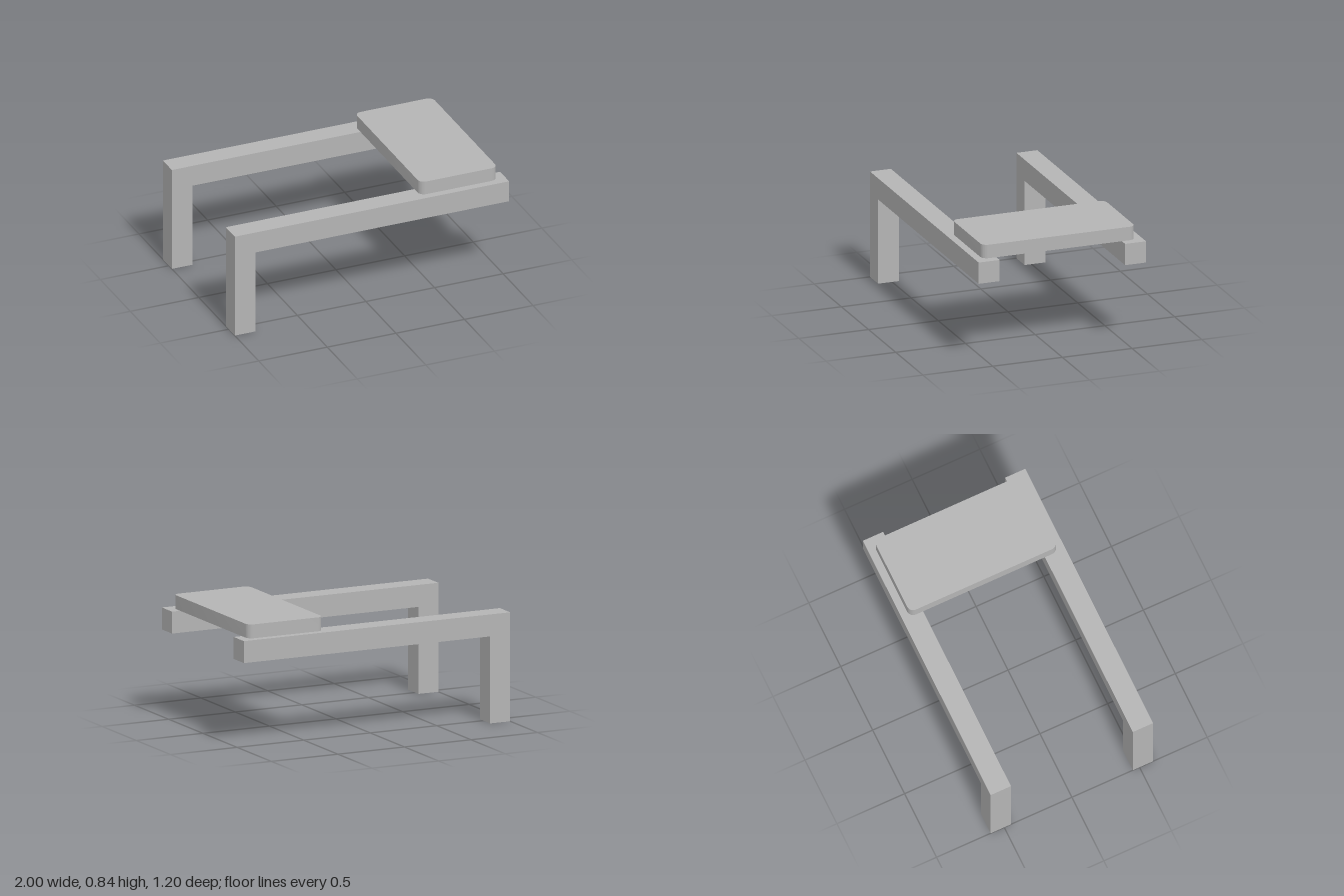
import * as THREE from 'three';
import { toCreasedNormals } from 'three/addons/utils/BufferGeometryUtils.js';

const RAIL = { bottom: 0.595, top: 0.745, thick: 0.15, outerZ: 0.6 };
const SLAB = { x0: 0.375, x1: 0.94, halfZ: 0.548, height: 0.095, radius: 0.045 };

// Rectangle with rounded corners, centred on y = 0
function roundedRect(x0, x1, halfY, r) {
  const s = new THREE.Shape();
  s.absarc(x1 - r, halfY - r, r, 0, Math.PI / 2);
  s.absarc(x0 + r, halfY - r, r, Math.PI / 2, Math.PI);
  s.absarc(x0 + r, -halfY + r, r, Math.PI, Math.PI * 1.5);
  s.absarc(x1 - r, -halfY + r, r, Math.PI * 1.5, Math.PI * 2);
  s.closePath();
  return s;
}

export function createModel() {
  const model = new THREE.Group();
  model.name = 'bench';
  const grey = new THREE.MeshStandardMaterial({ color: 0xb4b4b4 });
  grey.name = 'grey';

  // Side frames: a leg and a long rail in one L-shaped piece
  const profile = new THREE.Shape([
    [-1, 0], [-0.85, 0], [-0.85, RAIL.bottom], [1, RAIL.bottom], [1, RAIL.top], [-1, RAIL.top],
  ].map(([x, y]) => new THREE.Vector2(x, y)));
  const frameGeometry = new THREE.ExtrudeGeometry(profile, { depth: RAIL.thick, bevelEnabled: false });
  for (const [name, z] of [['frontFrame', RAIL.outerZ - RAIL.thick], ['backFrame', -RAIL.outerZ]]) {
    const frame = new THREE.Mesh(frameGeometry, grey);
    frame.name = name;
    frame.position.z = z;
    model.add(frame);
  }

  // Slab with rounded corners, resting across both rails
  const slabGeometry = new THREE.ExtrudeGeometry(
    roundedRect(SLAB.x0, SLAB.x1, SLAB.halfZ, SLAB.radius),
    { depth: SLAB.height, bevelEnabled: false, curveSegments: 8 },
  );
  slabGeometry.rotateX(-Math.PI / 2);
  const slab = new THREE.Mesh(toCreasedNormals(slabGeometry, Math.PI / 6), grey);
  slab.name = 'seatSlab';
  slab.position.y = RAIL.top;
  model.add(slab);

  return model;
}
